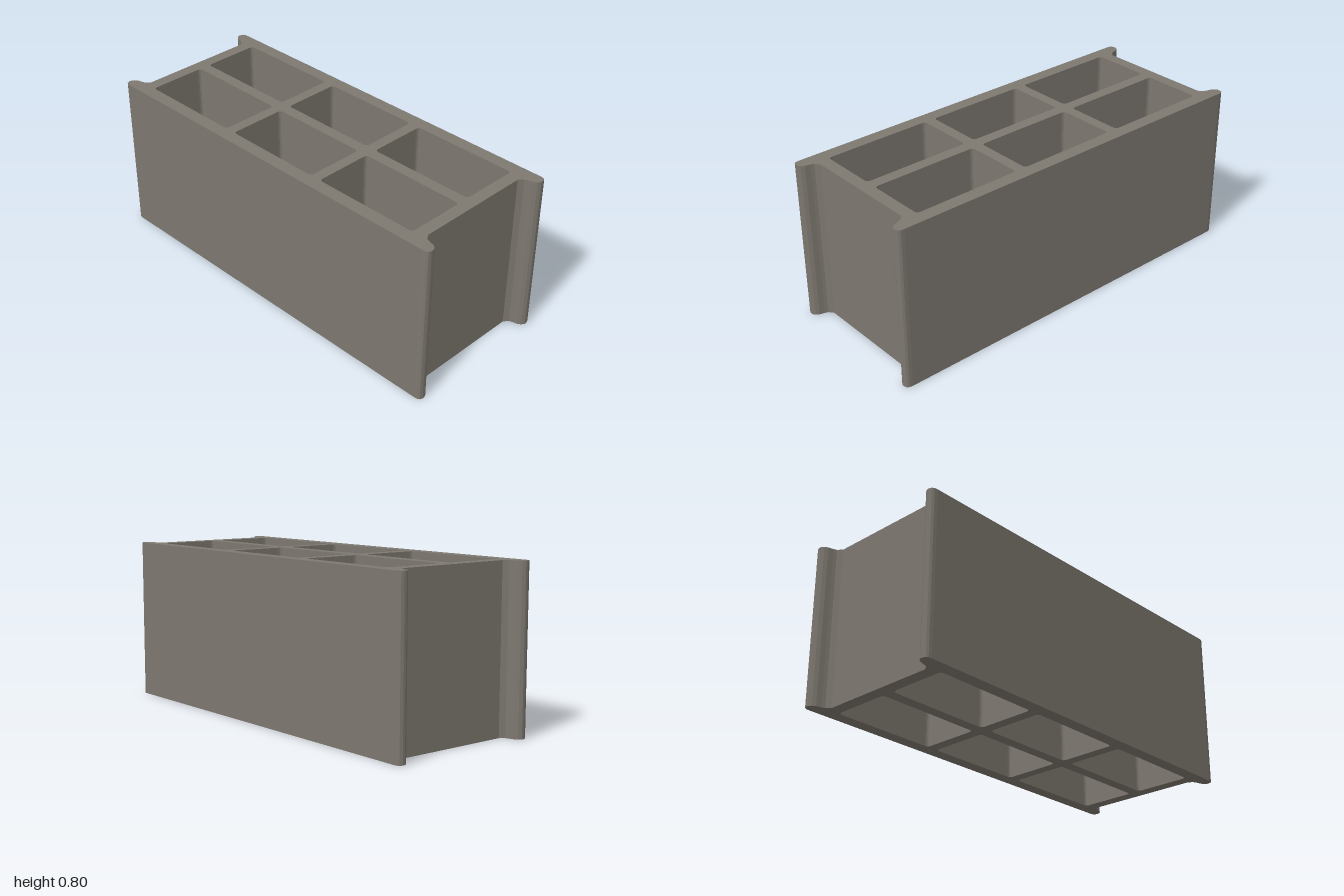
import * as THREE from 'three';

const HEIGHT = 0.8;

// Cell opening with small rounded corners
function roundedCell(x0, x1, y0, y1, r) {
  const p = new THREE.Path();
  p.moveTo(x0 + r, y0);
  p.lineTo(x1 - r, y0);
  p.quadraticCurveTo(x1, y0, x1, y0 + r);
  p.lineTo(x1, y1 - r);
  p.quadraticCurveTo(x1, y1, x1 - r, y1);
  p.lineTo(x0 + r, y1);
  p.quadraticCurveTo(x0, y1, x0, y1 - r);
  p.lineTo(x0, y0 + r);
  p.quadraticCurveTo(x0, y0, x0 + r, y0);
  return p;
}

export function createModel() {
  const concrete = new THREE.MeshStandardMaterial({ color: 0x7d7870 });
  concrete.name = 'concrete grey';

  // One quarter of the plan: recessed end wall, fillet, rounded flange tip
  const quarter = [
    [0.916, 0.296], [0.934, 0.319], [0.95, 0.325], [0.975, 0.331], [0.991, 0.341],
    [1, 0.356], [1, 0.368], [0.995, 0.382], [0.985, 0.388], [0.968, 0.39],
  ];
  const mirror = (sx, sy) => quarter.map(([x, y]) => new THREE.Vector2(x * sx, y * sy));
  const shape = new THREE.Shape([
    ...mirror(1, 1),
    ...mirror(-1, 1).reverse(),
    ...mirror(-1, -1),
    ...mirror(1, -1).reverse(),
  ]);

  // Six through cells, three columns by two rows
  for (const [x0, x1] of [[-0.855, -0.312], [-0.257, 0.257], [0.312, 0.855]]) {
    for (const [y0, y1] of [[-0.324, -0.029], [0.029, 0.324]]) {
      shape.holes.push(roundedCell(x0, x1, y0, y1, 0.02));
    }
  }

  const geometry = new THREE.ExtrudeGeometry(shape, {
    depth: HEIGHT, bevelEnabled: false, curveSegments: 4,
  });
  geometry.rotateX(-Math.PI / 2);

  const block = new THREE.Mesh(geometry, concrete);
  block.name = 'hollowBlock';
  const group = new THREE.Group();
  group.name = 'masonryBlock';
  group.add(block);
  return group;
}
